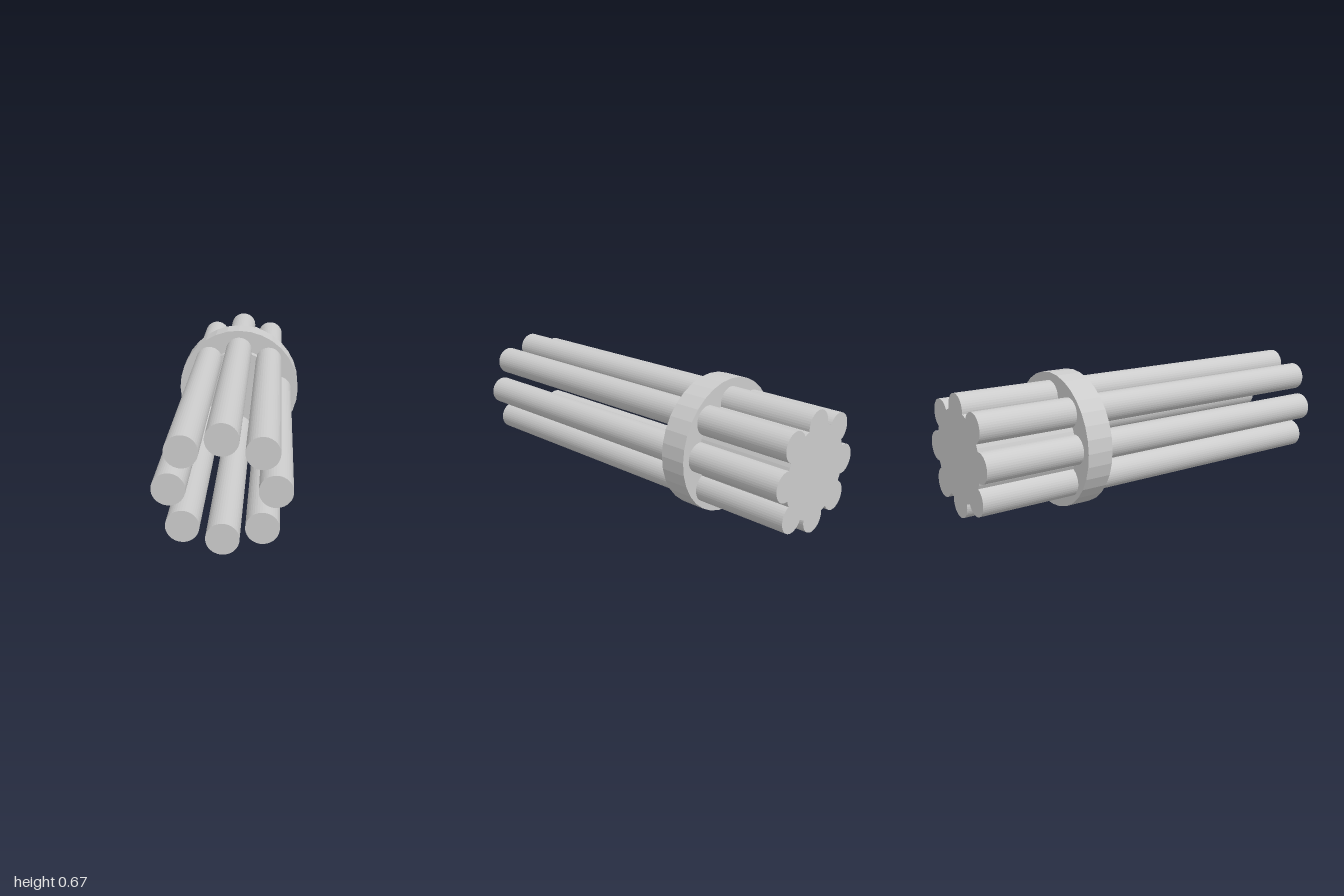
import * as THREE from 'three';

const CENTER_Y = 0.333;

export function createModel() {
  const group = new THREE.Group();
  const material = new THREE.MeshStandardMaterial({ color: 0xcccccc, flatShading: true });

  // Cylinder lying along z, spanning zMin..zMax, offset from the shared axis
  function rod(name, radius, zMin, zMax, sides, x = 0, y = 0) {
    const geometry = new THREE.CylinderGeometry(radius, radius, zMax - zMin, sides);
    geometry.rotateX(Math.PI / 2);
    const mesh = new THREE.Mesh(geometry, material);
    mesh.name = name;
    mesh.position.set(x, CENTER_Y + y, (zMin + zMax) / 2);
    group.add(mesh);
  }

  // Rear core and the faceted clamp ring around it
  rod('core', 0.222, -1, -0.333, 48);
  rod('clampRing', 0.333, -0.51, -0.378, 32);

  // Eight barrels: the diagonal ones sit slightly further out
  for (let i = 0; i < 8; i++) {
    const angle = (i * Math.PI) / 4;
    const distance = i % 2 ? 0.236 : 0.222;
    rod(`barrel${i + 1}`, 0.072, -1, 1, 40, Math.cos(angle) * distance, Math.sin(angle) * distance);
  }

  return group;
}
